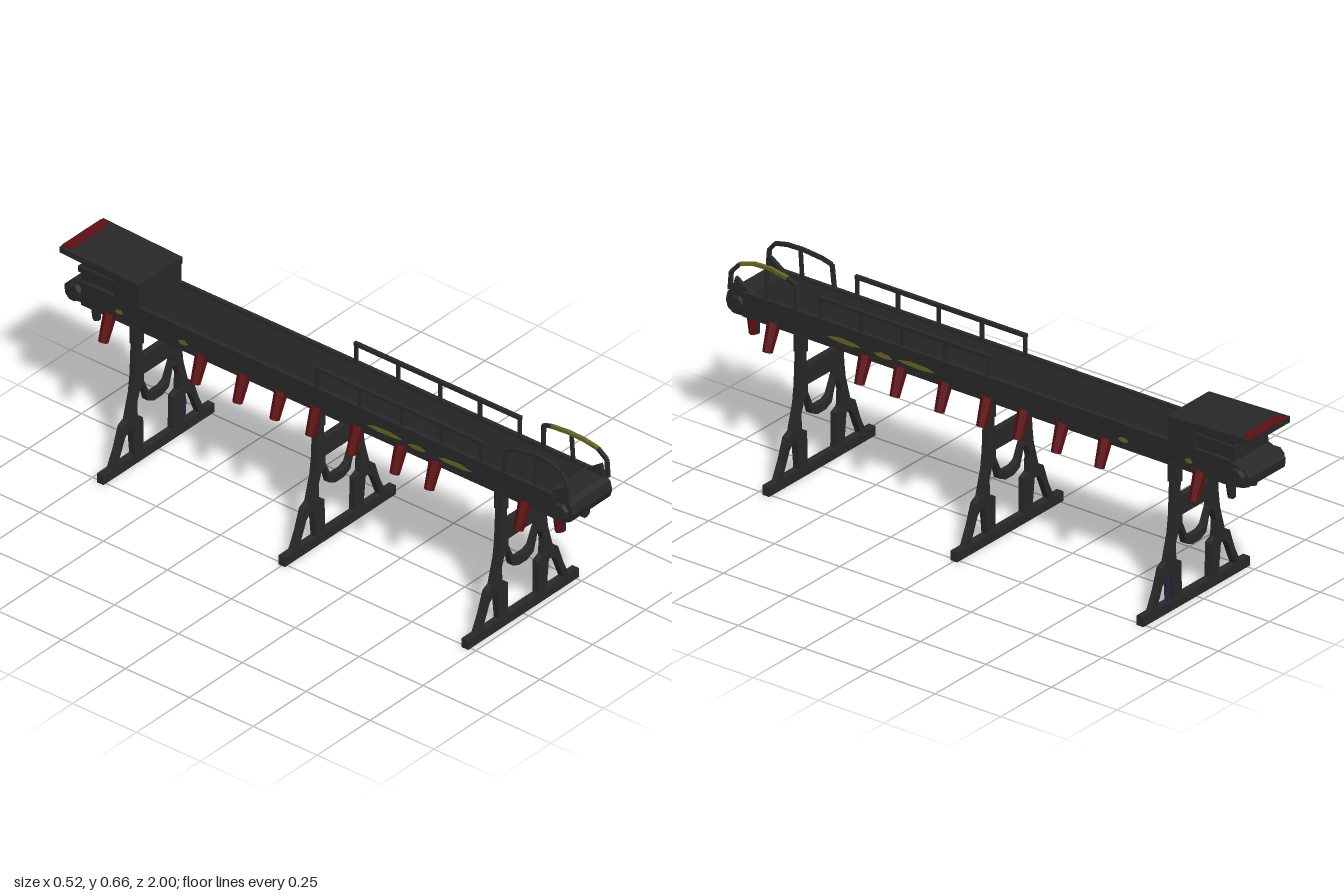
import * as THREE from 'three';

const mat = (name, color) => {
  const m = new THREE.MeshStandardMaterial({ color });
  m.name = name;
  return m;
};

export function createModel() {
  const model = new THREE.Group();
  model.name = 'conveyor';
  const steel = mat('dark steel', 0x282828);
  const belt = mat('belt black', 0x232323);
  const red = mat('dark red', 0x5c0f12);
  const yellow = mat('worn yellow', 0x66661f);
  const blue = mat('dark blue', 0x26263f);

  const add = (name, geo, material, parent = model) => {
    const mesh = new THREE.Mesh(geo, material);
    mesh.name = name;
    parent.add(mesh);
    return mesh;
  };
  // Box given by its extents on each axis
  const box = (name, x0, x1, y0, y1, z0, z1, material, parent) =>
    add(name, new THREE.BoxGeometry(x1 - x0, y1 - y0, z1 - z0)
      .translate((x0 + x1) / 2, (y0 + y1) / 2, (z0 + z1) / 2), material, parent);
  // Straight member between two points, with its own end radii
  const bar = (name, a, b, r0, r1, sides, material, parent) => {
    const from = new THREE.Vector3(...a), to = new THREE.Vector3(...b);
    const dir = to.clone().sub(from);
    const geo = new THREE.CylinderGeometry(r1, r0, dir.length(), sides).toNonIndexed();
    geo.rotateY(Math.PI / sides);
    geo.computeVertexNormals();
    const mesh = add(name, geo, material, parent);
    mesh.quaternion.setFromUnitVectors(new THREE.Vector3(0, 1, 0), dir.normalize());
    mesh.position.copy(from.add(to).multiplyScalar(0.5));
    return mesh;
  };
  const toShape = (pts) => new THREE.Shape(pts.map(([x, y]) => new THREE.Vector2(x, y)));
  // Closed outline from its right half, listed bottom to top
  const mirrored = (half) => [...half, ...half.slice().reverse().map(([x, y]) => [-x, y])];
  // Side profile of [z, y] points, extruded across x
  const across = (name, pts, halfWidth, material) => {
    const geo = new THREE.ExtrudeGeometry(toShape(pts), { depth: halfWidth * 2, bevelEnabled: false });
    return add(name, geo.translate(0, 0, -halfWidth).rotateY(-Math.PI / 2), material);
  };

  // Long bed with belt and side beams
  box('bed', -0.09, 0.09, 0.48, 0.545, -0.92, 0.95, steel);
  box('belt', -0.082, 0.082, 0.54, 0.552, -0.92, 0.94, belt);
  for (const s of [-1, 1]) {
    const x = s * 0.093;
    box('sideBeam', x - 0.007, x + 0.007, 0.475, 0.558, -0.92, 0.93, steel);
  }

  // Rounded end rollers with bearing caps
  across('frontRoller', [[0.9, 0.475], [0.97, 0.472], [0.992, 0.485], [1, 0.51], [0.993, 0.54], [0.975, 0.554], [0.9, 0.555]], 0.093, steel);
  across('backRoller', [[-0.9, 0.475], [-0.9, 0.55], [-0.93, 0.55], [-0.975, 0.532], [-0.993, 0.515], [-0.99, 0.485], [-0.965, 0.475]], 0.09, steel);
  for (const s of [-1, 1]) for (const z of [0.955, -0.95]) {
    bar('bearingCap', [s * 0.085, 0.508, z], [s * 0.106, 0.508, z], 0.032, 0.028, 8, steel);
  }

  // Hood over the back end, with an overhanging lid
  box('hoodFront', -0.1, 0.1, 0.55, 0.63, -0.79, -0.692, steel);
  box('hoodBody', -0.084, 0.084, 0.545, 0.63, -0.93, -0.78, steel);
  box('hoodCollar', -0.093, 0.093, 0.585, 0.605, -0.937, -0.78, steel);
  across('hoodLid', [[-0.69, 0.618], [-0.69, 0.641], [-1, 0.652], [-1, 0.632]], 0.103, steel);
  across('hoodStripe', [[-0.965, 0.648], [-0.965, 0.653], [-1, 0.6545], [-1, 0.649]], 0.092, red);

  // Support trestles: one flat outline with cut openings
  const outline = toShape(mirrored([[0.262, 0], [0.262, 0.032], [0.218, 0.032], [0.19, 0.09],
    [0.166, 0.158], [0.142, 0.17], [0.118, 0.255], [0.111, 0.31], [0.107, 0.39], [0.103, 0.485]]));
  const hole = (pts) => outline.holes.push(new THREE.Path(pts.map(([x, y]) => new THREE.Vector2(x, y))));
  hole(mirrored([[0.076, 0.365 + 0.015], [0.075, 0.476]]).concat([[-0.065, 0.367], [0.065, 0.367]]));
  hole(mirrored([[0.07, 0.034], [0.072, 0.148], [0.097, 0.16], [0.1, 0.215], [0.088, 0.25],
    [0.07, 0.262], [0.05, 0.197], [0.02, 0.183]]));
  hole(mirrored([[0.02, 0.212], [0.042, 0.222], [0.068, 0.278], [0.068, 0.303]]));
  for (const s of [-1, 1]) {
    hole([[0.112, 0.034], [0.192, 0.034], [0.158, 0.115], [0.136, 0.135], [0.122, 0.132]].map(([x, y]) => [s * x, y]));
  }
  const trestleGeo = new THREE.ExtrudeGeometry(outline, { depth: 0.022, bevelEnabled: false }).translate(0, 0, -0.011);
  for (const z of [0.717, 0, -0.71]) {
    const trestle = new THREE.Group();
    trestle.name = 'trestle';
    trestle.position.z = z;
    model.add(trestle);
    add('trestleFrame', trestleGeo, steel, trestle);
    box('baseBeam', -0.262, 0.262, 0, 0.032, -0.013, 0.013, steel, trestle);
    for (const s of [-1, 1]) {
      box('topBracket', s * 0.09 - 0.014, s * 0.09 + 0.014, 0.42, 0.48, -0.017, 0.017, steel, trestle);
    }
  }
  // Blue plate filling part of one back leg
  add('bluePlate', new THREE.ExtrudeGeometry(
    toShape([[0.112, 0.032], [0.136, 0.032], [0.141, 0.1], [0.133, 0.137], [0.121, 0.134]]),
    { depth: 0.008, bevelEnabled: false }).translate(0, 0, -0.714), blue);

  for (const s of [-1, 1]) {
    // Splayed red fins along the underside edges
    for (const z of [0.815, 0.465, 0.33, 0.16, 0, -0.14, -0.285, -0.45, -0.81]) {
      bar('fin', [s * 0.094, 0.488, z], [s * 0.127, 0.4, z], 0.022, 0.016, 6, red);
    }
    // Inner fins at both ends
    bar('frontInnerFin', [s * 0.066, 0.485, 0.92], [s * 0.062, 0.407, 0.92], 0.019, 0.013, 6, red);
    box('frontFinBacking', s * 0.052 - 0.008, s * 0.052 + 0.008, 0.405, 0.485, 0.907, 0.933, steel);
    bar('backInnerFin', [s * 0.06, 0.485, -0.897], [s * 0.052, 0.41, -0.897], 0.017, 0.013, 6, steel);

    // Long handrail
    const x = s * 0.09;
    for (const z of [0.64, 0.485, 0.33, 0.165, 0]) {
      bar('railPost', [x, 0.55, z], [x, 0.622, z], 0.007, 0.007, 4, steel);
    }
    box('handrail', x - 0.006, x + 0.006, 0.616, 0.628, -0.006, 0.647, steel);

    // Arched guard at the front end
    const arch = [[0.983, 0.55], [0.978, 0.61], [0.95, 0.642], [0.9, 0.655], [0.84, 0.657],
      [0.77, 0.648], [0.735, 0.635], [0.73, 0.55]];
    const lean = (y) => s * (0.094 - Math.max(0, y - 0.62) * 0.35);
    for (let i = 0; i < arch.length - 1; i++) {
      const [[z0, y0], [z1, y1]] = [arch[i], arch[i + 1]];
      const painted = s > 0 && i > 1 && i < 5;
      bar('archGuard', [lean(y0), y0, z0], [lean(y1), y1, z1], 0.008, 0.008, 4, painted ? yellow : steel);
    }
    bar('archPost', [s * 0.09, 0.55, 0.85], [lean(0.655), 0.655, 0.85], 0.007, 0.007, 4, steel);
    across('frontGusset', [[0.98, 0.55], [0.965, 0.595], [0.9, 0.55]], 0.006, steel).position.x = s * 0.085;

    // Worn yellow paint patches on the side beams
    for (const [z0, z1, y] of [[0.48, 0.61, 0.509], [0.36, 0.43, 0.507], [0.2, 0.34, 0.511],
      [-0.54, -0.5, 0.505], [-0.785, -0.755, 0.511]]) {
      const w = z1 - z0;
      const patch = across('paintPatch', [[z0, y - 0.002], [z0 + w * 0.3, y - 0.008], [z0 + w * 0.75, y - 0.006],
        [z1, y], [z1 - w * 0.35, y + 0.009], [z0 + w * 0.2, y + 0.006]], 0.0015, yellow);
      patch.position.x = s * 0.1;
    }
  }
  return model;
}
